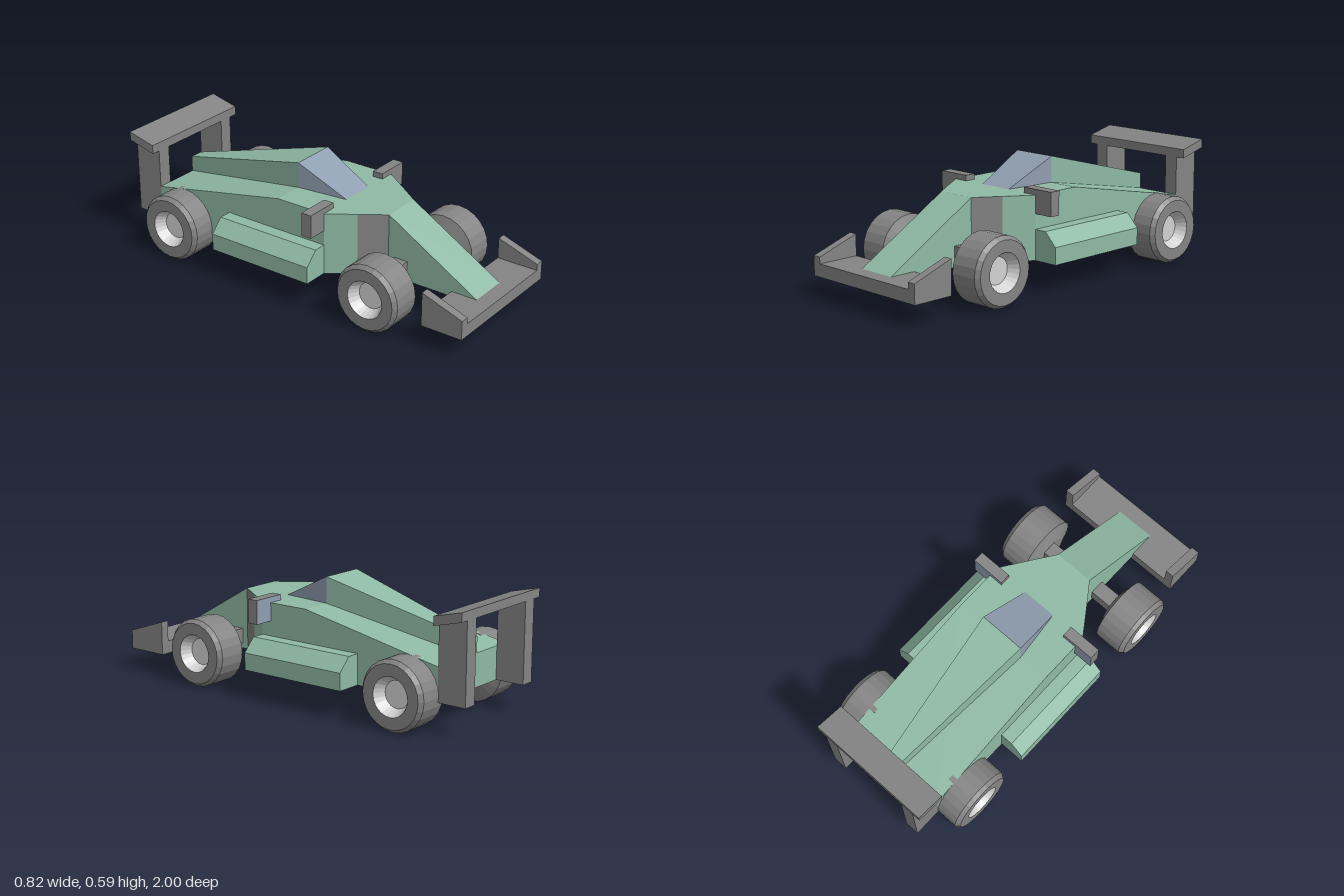
import * as THREE from 'three';

function material(name, color) {
  const m = new THREE.MeshStandardMaterial({ color });
  m.name = name;
  return m;
}

// Rectangular sections [z, halfWidth, yBottom, yTop], listed front to back.
// pick(segment, edge) gives the material index; edges: 0 bottom, 1 left, 2 top, 3 right.
function loft(sections, pick = () => 0) {
  const rings = sections.map(([z, w, y0, y1]) => [[-w, y0, z], [w, y0, z], [w, y1, z], [-w, y1, z]]);
  const faces = [[], []];
  const quad = (m, a, b, c, d) => faces[m].push(...a, ...b, ...c, ...a, ...c, ...d);
  quad(0, ...rings[0]);
  for (let i = 0; i < rings.length - 1; i++) {
    const a = rings[i], b = rings[i + 1];
    for (let j = 0; j < 4; j++) {
      const k = (j + 1) % 4;
      quad(pick(i, j), a[j], b[j], b[k], a[k]);
    }
  }
  const e = rings[rings.length - 1];
  quad(0, e[3], e[2], e[1], e[0]);
  const g = new THREE.BufferGeometry();
  g.setAttribute('position', new THREE.Float32BufferAttribute(faces.flat(), 3));
  g.addGroup(0, faces[0].length / 3, 0);
  g.addGroup(faces[0].length / 3, faces[1].length / 3, 1);
  g.computeVertexNormals();
  return g;
}

// Faceted surface of revolution around the x axis; points are [radius, x].
function turned(points) {
  const g = new THREE.LatheGeometry(points.map(([r, x]) => new THREE.Vector2(r, x)), 24)
    .rotateZ(-Math.PI / 2).toNonIndexed();
  g.computeVertexNormals();
  return g;
}

export function createModel() {
  const green = material('green paint', 0x8fbaa5);
  const grey = material('grey', 0x848484);
  const glass = material('blue glass', 0x8f9eb0);
  const silver = material('silver', 0xd2d2d2);

  const car = new THREE.Group();
  car.name = 'racingCar';
  const add = (name, geometry, mat, x = 0, y = 0, z = 0) => {
    const mesh = new THREE.Mesh(geometry, mat);
    mesh.name = name;
    mesh.position.set(x, y, z);
    car.add(mesh);
    return mesh;
  };

  // Body with grey panels on the front of the flared flanks
  add('body', loft([
    [0.92, 0.102, 0.145, 0.172], [0.43, 0.102, 0.145, 0.46], [0.31, 0.186, 0.145, 0.46],
    [0.18, 0.275, 0.145, 0.46], [-0.09, 0.275, 0.145, 0.46], [-0.85, 0.275, 0.145, 0.31],
  ], (i, j) => (i === 1 && j % 2 === 1 ? 1 : 0)), [green, grey]);

  // Windscreen running into the tapering engine cover, sunk into the body
  add('canopyAndEngineCover', loft([
    [0.175, 0.09, 0.4, 0.46], [-0.09, 0.118, 0.4, 0.59], [-0.85, 0.035, 0.25, 0.39],
  ], i => (i === 0 ? 1 : 0)), [green, glass]);

  // Front wing
  add('frontWing', new THREE.BoxGeometry(0.706, 0.064, 0.215), grey, 0, 0.14, 0.8925);

  // Rear wing plane
  add('rearWing', loft([[-0.85, 0.32, 0.505, 0.55], [-1, 0.32, 0.543, 0.587]]), grey);

  // Sidepod section with a sloping outer shoulder
  const podShape = new THREE.Shape([
    [0.26, 0.145], [0.405, 0.145], [0.405, 0.23], [0.34, 0.296], [0.26, 0.296],
  ].map(([x, y]) => new THREE.Vector2(x, y)));
  const podGeometry = new THREE.ExtrudeGeometry(podShape, { depth: 0.58, bevelEnabled: false });

  const endPlate = loft([[1, 0.022, 0.12, 0.204], [0.785, 0.022, 0.12, 0.278]]);
  const wingPost = loft([[-0.85, 0.036, 0.145, 0.52], [-0.998, 0.036, 0.145, 0.55]]);
  const mirrorBox = new THREE.BoxGeometry(0.175, 0.118, 0.055);
  const suspensionBar = new THREE.BoxGeometry(0.16, 0.075, 0.075);
  const tyre = turned([[0, 0.216], [0.09, 0.216], [0.17, 0.244], [0.17, 0.387], [0.153, 0.408], [0.095, 0.408]]);
  const rim = turned([[0.066, 0.355], [0.095, 0.408]].reverse().concat([[0.066, 0.355], [0, 0.355]]).slice(0, 2)
    .concat([[0, 0.355]]));

  for (const [side, s] of [['left', 1], ['right', -1]]) {
    add(side + 'EndPlate', endPlate, grey, s * 0.331);
    add(side + 'WingPost', wingPost, grey, s * 0.239);
    add(side + 'FrontSuspension', suspensionBar, grey, s * 0.15, 0.21, 0.5);

    // Mirror housing with glass on its rear face
    add(side + 'Mirror', mirrorBox, [grey, grey, grey, grey, grey, glass], s * 0.2875, 0.429, 0.1525);

    // The section is symmetric front to back, so a half turn mirrors it
    add(side + 'Sidepod', podGeometry, green, 0, 0, s > 0 ? -0.4 : 0.18).rotation.y = s > 0 ? 0 : Math.PI;

    // Wheels with dished rims facing outward
    for (const [end, z] of [['Front', 0.51], ['Rear', -0.685]]) {
      const wheel = new THREE.Group();
      wheel.name = side + end + 'Wheel';
      wheel.position.set(0, 0.171, z);
      wheel.rotation.y = s > 0 ? 0 : Math.PI;
      const tyreMesh = new THREE.Mesh(tyre, grey);
      tyreMesh.name = 'tyre';
      const rimMesh = new THREE.Mesh(rim, silver);
      rimMesh.name = 'rim';
      wheel.add(tyreMesh, rimMesh);
      car.add(wheel);
    }
  }
  return car;
}
